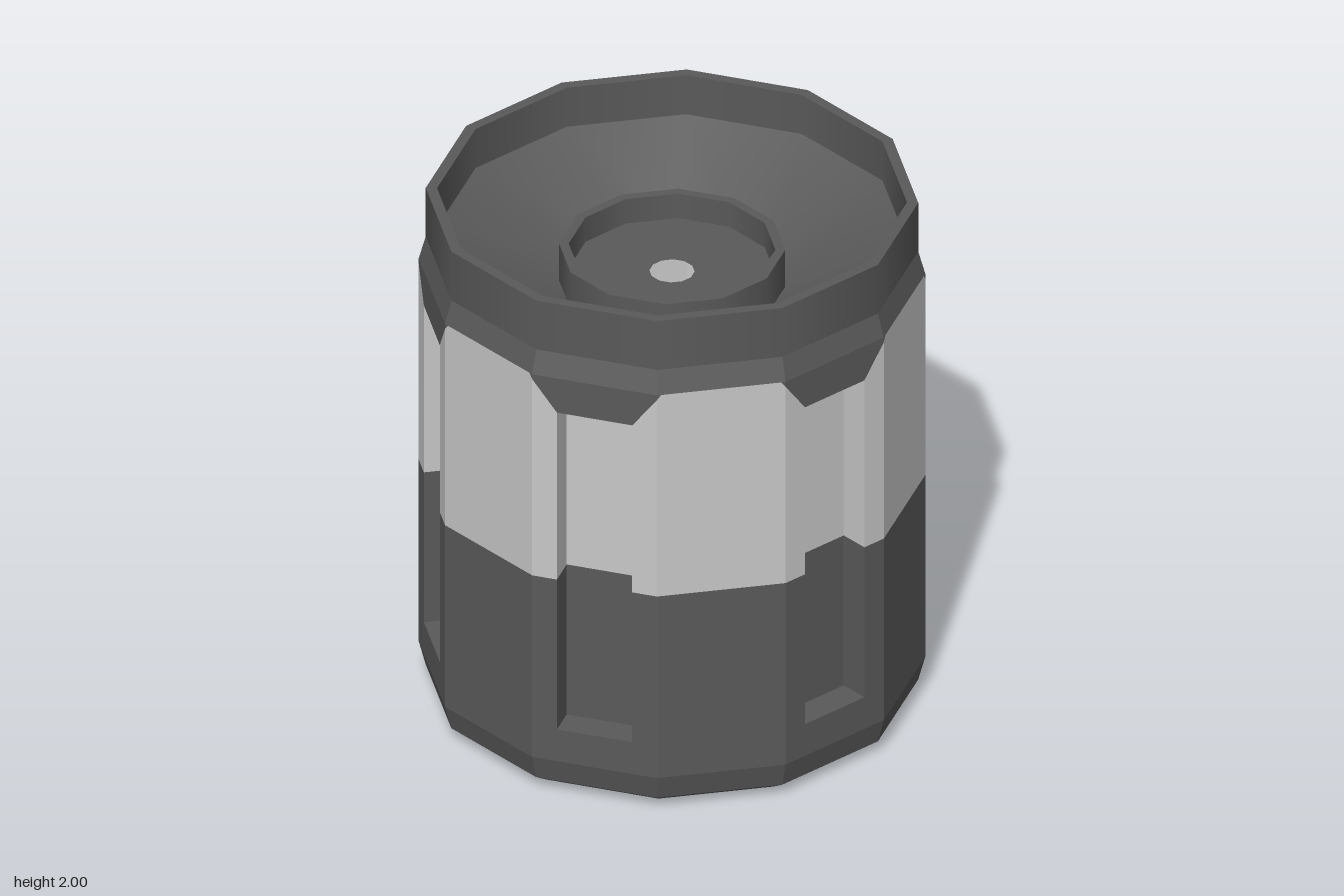
import * as THREE from 'three';

const SIDES = 12;
const R = 0.895;                              // body corner radius
const APOTHEM = R * Math.cos(Math.PI / SIDES);
const W = R * Math.sin(Math.PI / SIDES);      // half width of one face
const G = 0.14;                               // half width of a groove
const DEPTH = 0.11;
const BASE = 0.14, SPLIT = 0.885, SHOULDER = 1.71, NOTCH = 1.69;
const GROOVE_LOW = 0.27, GROOVE_TOP = 1.57;

export function createModel() {
  const model = new THREE.Group();
  const dark = new THREE.MeshStandardMaterial({ color: 0x5a5a5a, side: THREE.DoubleSide });
  dark.name = 'dark grey';
  const light = new THREE.MeshStandardMaterial({ color: 0xc8c8c8, side: THREE.DoubleSide });
  light.name = 'light grey';

  const add = (parent, name, geometry, material) => {
    const mesh = new THREE.Mesh(geometry, material);
    mesh.name = name;
    parent.add(mesh);
    return mesh;
  };

  // Twelve-sided ring surfaces, one per profile segment so the edges stay sharp
  const turned = (name, profile, flat) => {
    const group = new THREE.Group();
    group.name = name;
    for (let i = 0; i < profile.length - 1; i++) {
      const pts = [profile[i], profile[i + 1]].map(p => new THREE.Vector2(...p));
      let geometry = new THREE.LatheGeometry(pts, SIDES);
      if (flat) {
        geometry = geometry.toNonIndexed();
        geometry.computeVertexNormals();
      }
      add(group, name + 'Band', geometry, dark);
    }
    model.add(group);
  };

  turned('base', [[0.4, 0], [0.8, 0], [0.87, 0.045], [R, BASE]], true);
  turned('shoulder', [[R, SHOULDER], [0.87, 1.8]], true);
  turned('collar', [[0.87, 1.8], [0.87, 2], [0.83, 2], [0.83, 1.84]], false);
  turned('funnel', [[0.83, 1.84], [0.4, 1.64]], false);
  turned('centreRing', [[0.4, 1.64], [0.4, 1.79], [0.365, 1.79], [0.365, 1.69], [0.08, 1.69]], false);

  // Flat outline lying in the plane of a body face
  const outline = pts => new THREE.ShapeGeometry(new THREE.Shape(pts.map(p => new THREE.Vector2(...p))));
  const rect = (x0, y0, x1, y1) => outline([[x0, y0], [x1, y0], [x1, y1], [x0, y1]]);
  const mirrored = pts => pts.map(([x, y]) => [-x, y]);

  // Plain face shapes
  const cut = W - 0.015;
  const lowerPanel = rect(-W, BASE, W, SPLIT);
  const upperPanel = outline([[-W, SPLIT], [W, SPLIT], [W, NOTCH], [cut, SHOULDER], [-cut, SHOULDER], [-W, NOTCH]]);
  const corner = [[W, NOTCH], [W, SHOULDER], [cut, SHOULDER]];

  // Grooved face shapes
  const lowerFrame = outline([[-W, BASE], [W, BASE], [W, SPLIT], [G, SPLIT],
    [G, GROOVE_LOW], [-G, GROOVE_LOW], [-G, SPLIT], [-W, SPLIT]]);
  const strip = [[G, SPLIT], [W, SPLIT], [W, NOTCH], [G, GROOVE_TOP]];
  const tab = outline([[-G, GROOVE_TOP], [G, GROOVE_TOP], [W, NOTCH], [W, SHOULDER], [-W, SHOULDER], [-W, NOTCH]]);

  const addPlainFace = face => {
    add(face, 'lowerPanel', lowerPanel, dark);
    add(face, 'upperPanel', upperPanel, light);
    for (const pts of [corner, mirrored(corner)]) add(face, 'collarCorner', outline(pts), dark);
  };

  const addGroovedFace = face => {
    add(face, 'lowerFrame', lowerFrame, dark);
    for (const pts of [strip, mirrored(strip)]) add(face, 'upperStrip', outline(pts), light);
    add(face, 'collarTab', tab, dark);
    // Recess floor and side walls in two colours
    for (const [y0, y1, material] of [[GROOVE_LOW, SPLIT, dark], [SPLIT, GROOVE_TOP, light]]) {
      add(face, 'grooveFloor', rect(-G, y0, G, y1), material).position.z = -DEPTH;
      for (const s of [-1, 1]) {
        const wall = add(face, 'grooveWall', new THREE.PlaneGeometry(DEPTH, y1 - y0), material);
        wall.position.set(s * G, (y0 + y1) / 2, -DEPTH / 2);
        wall.rotation.y = -s * Math.PI / 2;
      }
    }
    // Ledges closing the recess below and above
    for (const [y, s] of [[GROOVE_LOW, -1], [GROOVE_TOP, 1]]) {
      const ledge = add(face, 'grooveLedge', new THREE.PlaneGeometry(2 * G, DEPTH), dark);
      ledge.position.set(0, y, -DEPTH / 2);
      ledge.rotation.x = s * Math.PI / 2;
    }
  };

  // Grooved and plain faces alternate around the body
  for (let i = 0; i < SIDES; i++) {
    const angle = (i + 0.5) * 2 * Math.PI / SIDES;
    const face = new THREE.Group();
    face.name = i % 2 ? 'plainFace' : 'groovedFace';
    face.position.set(APOTHEM * Math.sin(angle), 0, APOTHEM * Math.cos(angle));
    face.rotation.y = angle;
    (i % 2 ? addPlainFace : addGroovedFace)(face);
    model.add(face);
  }
  return model;
}
